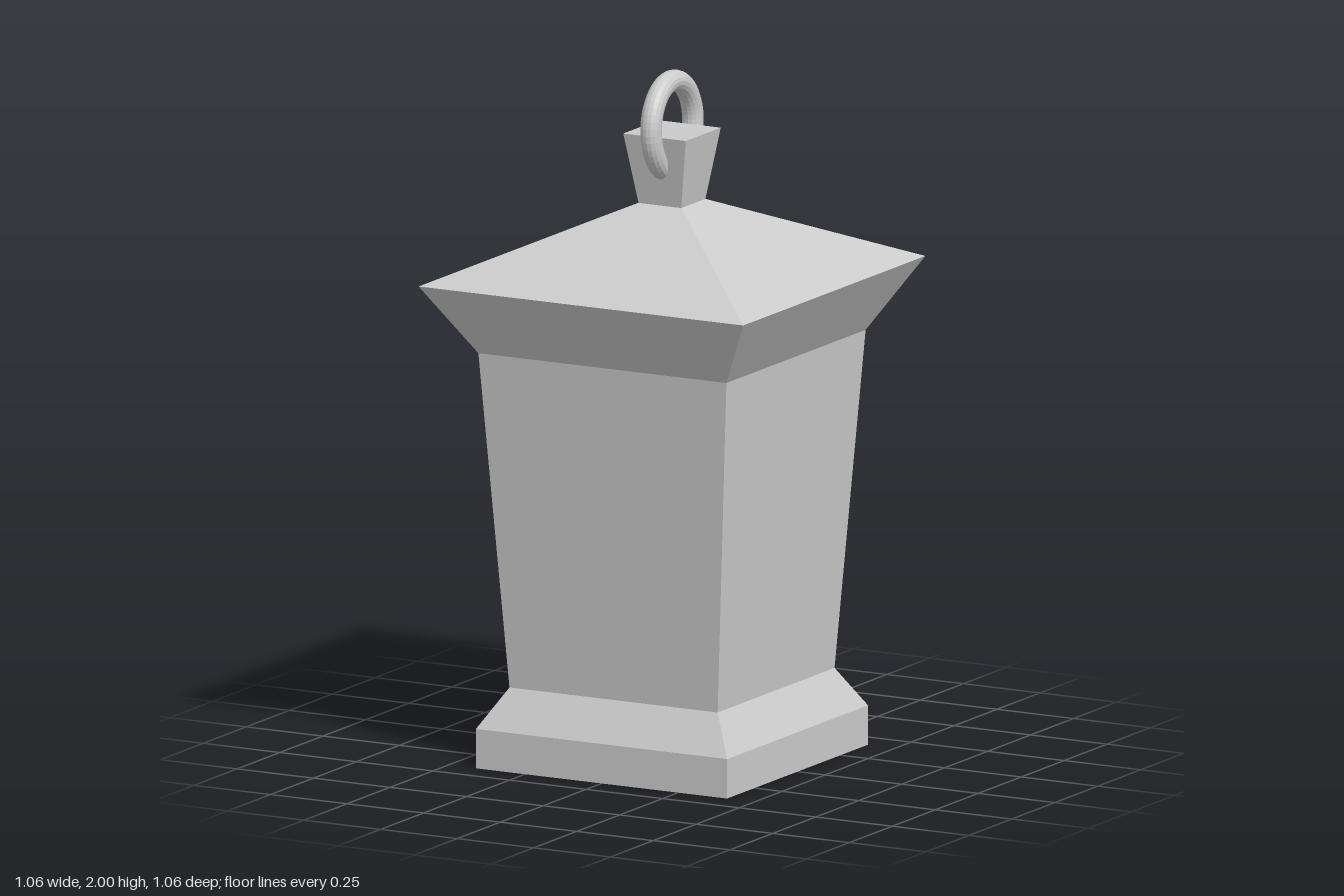
import * as THREE from 'three';

const material = new THREE.MeshStandardMaterial({ color: 0xcccccc, flatShading: true });

// Four-sided solid from [half width, height] pairs listed bottom to top
function squarePart(name, profile) {
  const points = profile.map(([half, y]) => new THREE.Vector2(half * Math.SQRT2, y));
  const mesh = new THREE.Mesh(new THREE.LatheGeometry(points, 4, Math.PI / 4), material);
  mesh.name = name;
  return mesh;
}

export function createModel() {
  const model = new THREE.Group();
  model.name = 'lantern';

  model.add(
    // Plinth with a sloped upper edge, closed underneath
    squarePart('base', [[0, 0], [0.41, 0], [0.41, 0.115], [0.34, 0.23]]),
    // Housing widening towards the roof
    squarePart('body', [[0.34, 0.23], [0.405, 1.21]]),
    // Flared eaves and pyramid roof
    squarePart('roof', [[0.405, 1.21], [0.53, 1.415], [0.07, 1.62]]),
    // Tapered block that holds the ring
    squarePart('finial', [[0.07, 1.62], [0.102, 1.825], [0, 1.825]])
  );

  // Hanging ring, slightly askew
  const ring = new THREE.Mesh(new THREE.TorusGeometry(0.131, 0.031, 16, 48), material);
  ring.name = 'hangingRing';
  ring.position.y = 1.838;
  ring.rotation.set(0, -Math.PI / 2 + 0.04, 0.035, 'ZYX');
  model.add(ring);

  return model;
}
